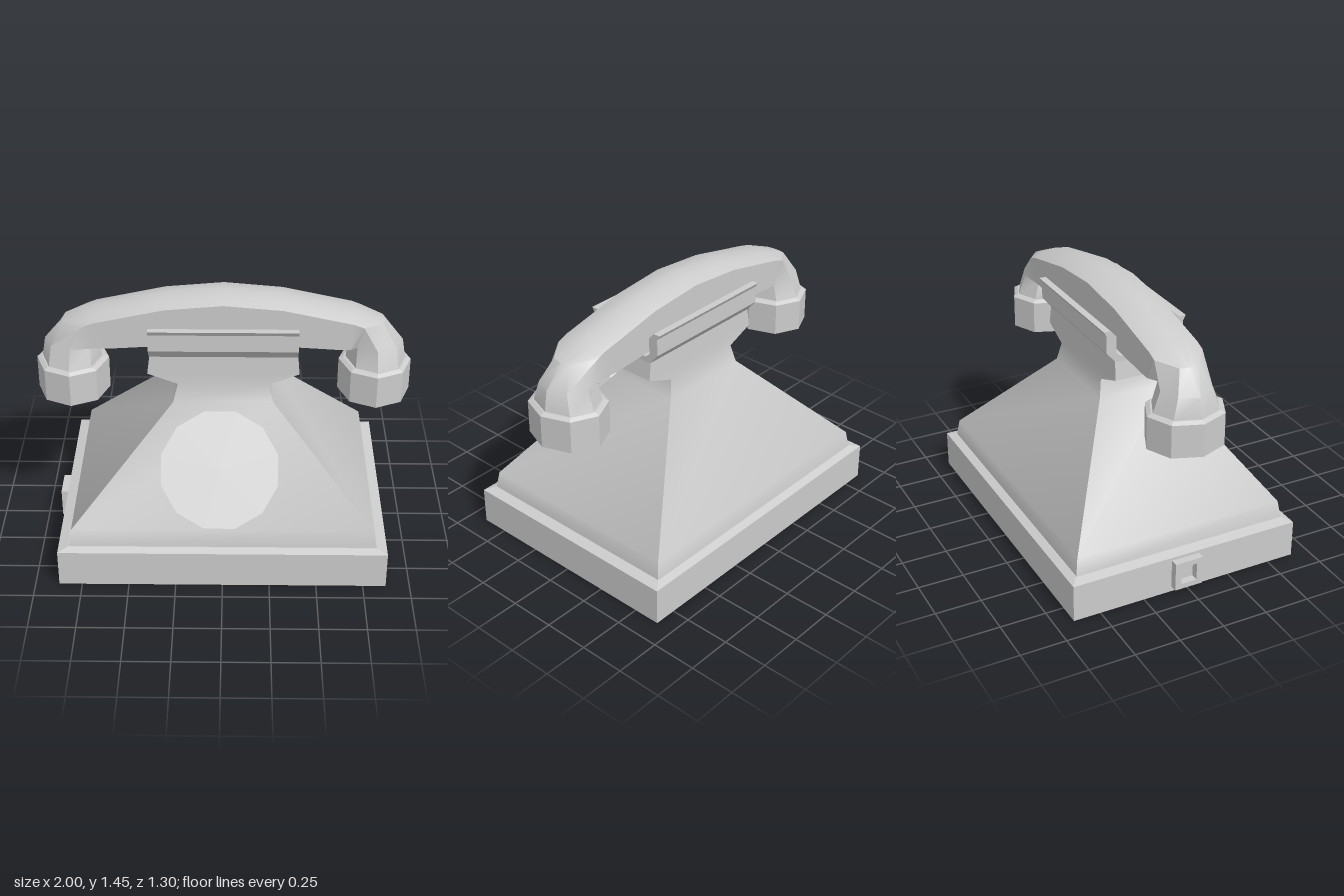
import * as THREE from 'three';
import { toCreasedNormals } from 'three/addons/utils/BufferGeometryUtils.js';

const material = new THREE.MeshStandardMaterial({ color: 0xcccccc });

function addMesh(parent, name, geometry) {
  const mesh = new THREE.Mesh(geometry, material);
  mesh.name = name;
  parent.add(mesh);
  return mesh;
}

// Skin a stack of rings (counterclockwise seen from the end) and cap both ends
function loft(rings, crease) {
  const n = rings[0].length;
  const index = [];
  for (let i = 0; i < rings.length - 1; i++) {
    for (let j = 0; j < n; j++) {
      const a = i * n + j, b = i * n + (j + 1) % n;
      index.push(a, b, b + n, a, b + n, a + n);
    }
  }
  const last = (rings.length - 1) * n;
  for (let j = 1; j < n - 1; j++) {
    index.push(0, j + 1, j, last, last + j, last + j + 1);
  }
  const geometry = new THREE.BufferGeometry();
  geometry.setAttribute('position', new THREE.Float32BufferAttribute(rings.flat(2), 3));
  geometry.setIndex(index);
  return toCreasedNormals(geometry, crease);
}

// Rectangle ring at height y
const rect = (y, hx, hz) => [[-hx, y, hz], [hx, y, hz], [hx, y, -hz], [-hx, y, -hz]];

// Eight-sided ring, first corner toward the middle of the handset, then +z
const octagon = (cx, y, rx, rz) => Array.from({ length: 8 }, (_, j) => {
  const t = j * Math.PI / 4;
  return [cx - rx * Math.cos(t), y, rz * Math.sin(t)];
});

// Handset ring from bottom, crease and top points [x, y], with half widths
function bar(bottom, crease, shoulder, top, shoulderZ) {
  const w = 0.135;
  const side = [[...bottom, w], [...crease, w], [...shoulder, shoulderZ]];
  const back = side.map(([x, y, z]) => [x, y, -z]).reverse();
  return [[...bottom, 0], ...side, [...top, 0], ...back];
}

export function createModel() {
  const phone = new THREE.Group();
  phone.name = 'telephone';

  // Plinth with a narrow bevel
  addMesh(phone, 'base', loft([
    rect(0, 0.873, 0.65), rect(0.207, 0.873, 0.65), rect(0.222, 0.82, 0.61),
  ], 0.2));

  // Sloping body, neck and flared wings
  addMesh(phone, 'body', loft([
    rect(0.215, 0.817, 0.607), rect(0.315, 0.8, 0.592), rect(0.87, 0.265, 0.197),
    rect(0.97, 0.24, 0.178), rect(1.03, 0.4, 0.174), rect(1.14, 0.385, 0.17),
  ], 0.9));

  // Cradle: a trough with a lipped rail on each side
  const half = [[0.17, 1.13], [0.22, 1.19], [0.22, 1.285], [0.235, 1.31],
    [0.197, 1.31], [0.165, 1.275], [0.165, 1.18], [0.14, 1.16]];
  const outline = [...half, ...half.map(([z, y]) => [-z, y]).reverse()];
  const trough = new THREE.ExtrudeGeometry(
    new THREE.Shape(outline.map(([z, y]) => new THREE.Vector2(z, y))),
    { depth: 0.78, bevelEnabled: false });
  trough.translate(0, 0, -0.39).rotateY(Math.PI / 2);
  addMesh(phone, 'cradle', trough);

  // Twelve-sided dial lying on the front slope
  const disc = new THREE.CylinderGeometry(0.318, 0.318, 0.036, 12);
  disc.rotateY(Math.PI / 12);
  const dial = addMesh(phone, 'dial', toCreasedNormals(disc, 0.3));
  dial.position.set(-0.017, 0.595, 0.43);
  dial.rotation.x = Math.atan2(0.35, 0.5) - Math.PI / 2 + Math.PI / 2 - 2 * Math.atan2(0.35, 0.5) + Math.PI / 2;

  // Handset: half of the rings, then mirrored
  const handset = new THREE.Group();
  handset.name = 'handset';
  phone.add(handset);
  const rings = [
    octagon(0.81, 1.035, 0.16, 0.185),
    octagon(0.805, 1.15, 0.145, 0.14),
    bar([0.665, 1.157], [0.73, 1.285], [0.84, 1.27], [0.85, 1.268], 0.055),
    bar([0.6, 1.157], [0.68, 1.305], [0.68, 1.332], [0.68, 1.342], 0.075),
    bar([0.31, 1.175], [0.31, 1.385], [0.31, 1.41], [0.31, 1.422], 0.075),
  ];
  const middle = bar([0, 1.185], [0, 1.412], [0, 1.435], [0, 1.45], 0.075);
  const mirrored = rings.map(r => r.map(([x, y, z]) => [-x, y, z])).reverse();
  addMesh(handset, 'handle', loft([...rings, middle, ...mirrored], 0.6));

  // Eight-sided earpiece and mouthpiece cups
  for (const [name, side] of [['earpiece', -1], ['mouthpiece', 1]]) {
    addMesh(handset, name, loft([
      octagon(side * 0.807, 0.85, 0.193, 0.213),
      octagon(side * 0.807, 1.03, 0.193, 0.213),
      octagon(side * 0.807, 1.043, 0.17, 0.19),
    ], 0.2));
  }

  // Cable socket on the side of the base
  const frame = new THREE.Shape([[-1, -1], [1, -1], [1, 1], [-1, 1]]
    .map(([x, y]) => new THREE.Vector2(x * 0.08, y * 0.08)));
  frame.holes.push(new THREE.Path([[-1, -1], [-1, 1], [1, 1], [1, -1]]
    .map(([x, y]) => new THREE.Vector2(x * 0.045, y * 0.05))));
  const socket = addMesh(phone, 'cableSocket',
    new THREE.ExtrudeGeometry(frame, { depth: 0.05, bevelEnabled: false }));
  socket.rotation.y = -Math.PI / 2;
  socket.position.set(-0.865, 0.11, -0.01);

  return phone;
}
